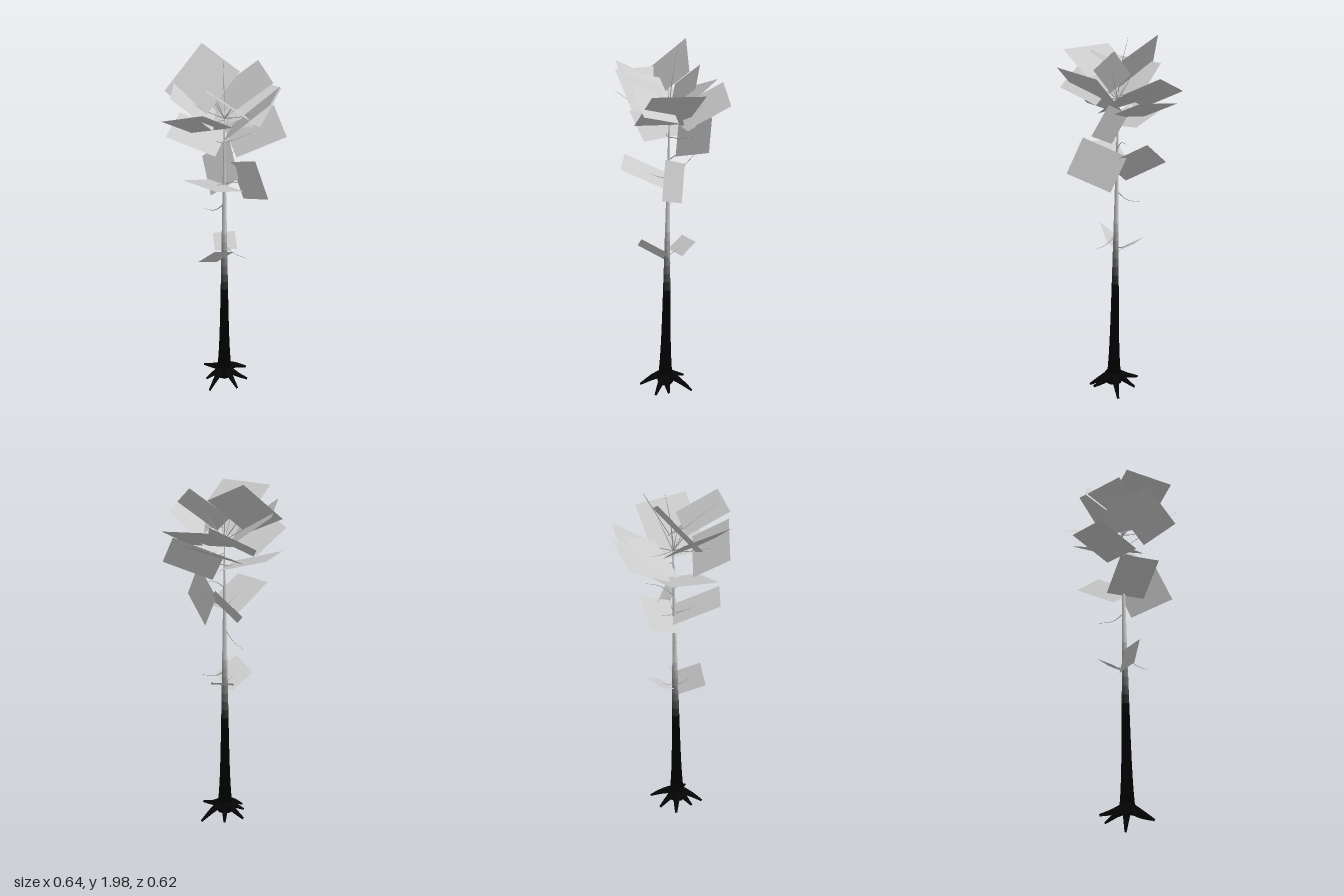
import * as THREE from 'three';

const V = (p) => new THREE.Vector3(...p);
const UP = new THREE.Vector3(0, 1, 0);
const leafMaterial = new THREE.MeshStandardMaterial({ color: 0xcccccc, side: THREE.DoubleSide });
const barkMaterial = (color) => new THREE.MeshStandardMaterial({ color });

// Tube along a path whose radius runs from r0 to r1
function taperedTube(points, r0, r1, sides, segments) {
  const curve = new THREE.CatmullRomCurve3(points.map(V));
  const geo = new THREE.TubeGeometry(curve, segments, 1, sides);
  const pos = geo.attributes.position;
  const v = new THREE.Vector3();
  for (let i = 0; i < pos.count; i++) {
    const t = Math.floor(i / (sides + 1)) / segments;
    const c = curve.getPointAt(t);
    v.fromBufferAttribute(pos, i).sub(c).multiplyScalar(r0 + (r1 - r0) * t).add(c);
    pos.setXYZ(i, v.x, v.y, v.z);
  }
  return geo;
}

// Flat rectangle from one edge (a to b), its signed width and how far the far edge rises
function leafCard([ax, ay, az, bx, by, bz, width, rise]) {
  const a = V([ax, ay, az]);
  const b = V([bx, by, bz]);
  const edge = b.clone().sub(a);
  const e = edge.clone().normalize();
  const level = new THREE.Vector3().crossVectors(e, UP).normalize();
  const slope = UP.clone().addScaledVector(e, -e.y).normalize();
  const climb = THREE.MathUtils.clamp(rise / slope.y, -Math.abs(width), Math.abs(width));
  const run = Math.sign(width) * Math.sqrt(width * width - climb * climb);
  const across = level.multiplyScalar(run).addScaledVector(slope, climb);
  const mid = a.add(b).add(across).multiplyScalar(0.5);
  const geo = new THREE.PlaneGeometry(1, 1);
  const normal = new THREE.Vector3().crossVectors(edge, across).normalize();
  geo.applyMatrix4(new THREE.Matrix4().makeBasis(edge, across, normal).setPosition(mid));
  geo.computeVertexNormals();
  return { geo, mid };
}

// Cards low on the trunk and in the middle ring
const LOWER_CARDS = [
  [0.068, 0.96, 0.155, -0.02, 0.875, 0.195, 0.16, -0.07],
  [-0.12, 0.91, -0.03, -0.04, 0.915, -0.12, 0.11, -0.055],
  [-0.055, 1.39, 0.265, 0.155, 1.39, 0.24, -0.265, -0.11],
  [-0.1, 1.45, -0.14, -0.23, 1.33, -0.07, -0.25, -0.12],
  [0.2, 1.48, 0, 0.29, 1.295, 0, -0.25, -0.106],
];

// Cards of the crown, underside first
const CROWN_CARDS = [
  [0.13, 1.69, -0.22, 0.22, 1.54, -0.22, 0.275, -0.1],
  [-0.28, 1.61, 0.04, -0.165, 1.59, 0.26, -0.265, -0.08],
  [-0.25, 1.66, -0.165, -0.01, 1.7, -0.285, 0.24, -0.1],
  [-0.24, 1.79, 0.185, -0.19, 1.99, -0.035, 0.24, -0.11],
  [-0.32, 1.7, -0.065, -0.14, 1.8, -0.21, 0.23, -0.1],
  [-0.155, 1.78, -0.235, 0.105, 1.745, -0.31, 0.255, -0.125],
  [0.185, 1.815, -0.2, 0.32, 1.84, 0.04, 0.32, -0.22],
  [-0.03, 1.905, 0.295, 0.24, 1.9, 0.21, -0.24, -0.11],
  [-0.14, 1.7, 0.31, 0.11, 1.8, 0.28, -0.22, -0.12],
  [-0.255, 1.82, 0.095, -0.075, 1.84, 0.31, -0.26, -0.16],
  [0.085, 1.89, 0.22, 0.295, 1.73, 0.085, -0.22, -0.075],
  [0.08, 1.94, -0.15, 0.185, 1.85, -0.145, 0.25, -0.15],
];

// Root tips
const ROOTS = [
  [-0.12, 0.04, 0.05], [0.155, 0.025, 0.07], [0.16, 0.05, -0.01], [0.04, 0.012, 0.18],
  [-0.03, 0.03, 0.13], [0.05, 0.012, -0.12], [-0.07, 0.03, -0.05],
];

// Trunk rules by height: leaning centre, flared radius and brightness
const trunkAt = (y) => [0.026 - 0.012 * y, y, 0.038 - 0.014 * y];
const trunkRadius = (y) => 0.031 * (1 - y / 1.8) + 0.022 * Math.exp(-y / 0.13);
const trunkShade = (y) => 0.6 * THREE.MathUtils.smoothstep(y, 0.6, 1.15);

export function createModel() {
  const tree = new THREE.Group();
  tree.name = 'tree';
  const add = (parent, name, geo, mat) => {
    const mesh = new THREE.Mesh(geo, mat);
    mesh.name = name;
    parent.add(mesh);
  };
  const group = (name) => {
    const g = new THREE.Group();
    g.name = name;
    tree.add(g);
    return g;
  };

  // Trunk, dark at the foot and paler upward
  const trunk = group('trunk');
  const step = 0.05;
  for (let i = 0; i < 34; i++) {
    const y0 = 0.04 + i * step;
    const y1 = y0 + step;
    const shade = trunkShade(y0 + step / 2);
    const geo = taperedTube([trunkAt(y0), trunkAt(y1)], trunkRadius(y0), trunkRadius(y1), 8, 1);
    add(trunk, 'trunkSection', geo, barkMaterial(new THREE.Color(shade, shade, shade)));
  }

  // Spreading roots
  const roots = group('roots');
  const dark = barkMaterial(0x050505);
  for (const tip of ROOTS) {
    const foot = trunkAt(0.1);
    const knee = [(foot[0] + tip[0]) / 2, 0.064, (foot[2] + tip[2]) / 2];
    add(roots, 'root', taperedTube([foot, knee, tip], 0.027, 0.006, 6, 6), dark);
  }

  // Leaf cards, each carried on a thin branch
  const leaves = group('leaves');
  const branches = group('branches');
  const pale = barkMaterial(0xaaaaaa);
  const branch = (points) => add(branches, 'branch', taperedTube(points, 0.003, 0.0006, 4, 5), pale);
  for (const card of [...LOWER_CARDS, ...CROWN_CARDS]) {
    const { geo, mid } = leafCard(card);
    add(leaves, 'leafCard', geo, leafMaterial);
    const start = trunkAt(Math.min(mid.y - 0.04, 1.66));
    const bend = V(start).lerp(mid, 0.5);
    branch([start, [bend.x, bend.y - 0.005, bend.z], mid.toArray()]);
  }

  // Bare twigs and the leading shoot
  branch([trunkAt(1.17), [-0.05, 1.11, 0.03], [-0.13, 1.09, 0.03]]);
  branch([trunkAt(0.92), [0.07, 0.88, 0.01], [0.15, 0.865, -0.02]]);
  branch([trunkAt(1.4), [0.01, 1.45, -0.05], [0.01, 1.46, -0.13]]);
  branch([trunkAt(1.7), [-0.01, 1.85, 0], [-0.035, 1.98, -0.02]]);
  return tree;
}
